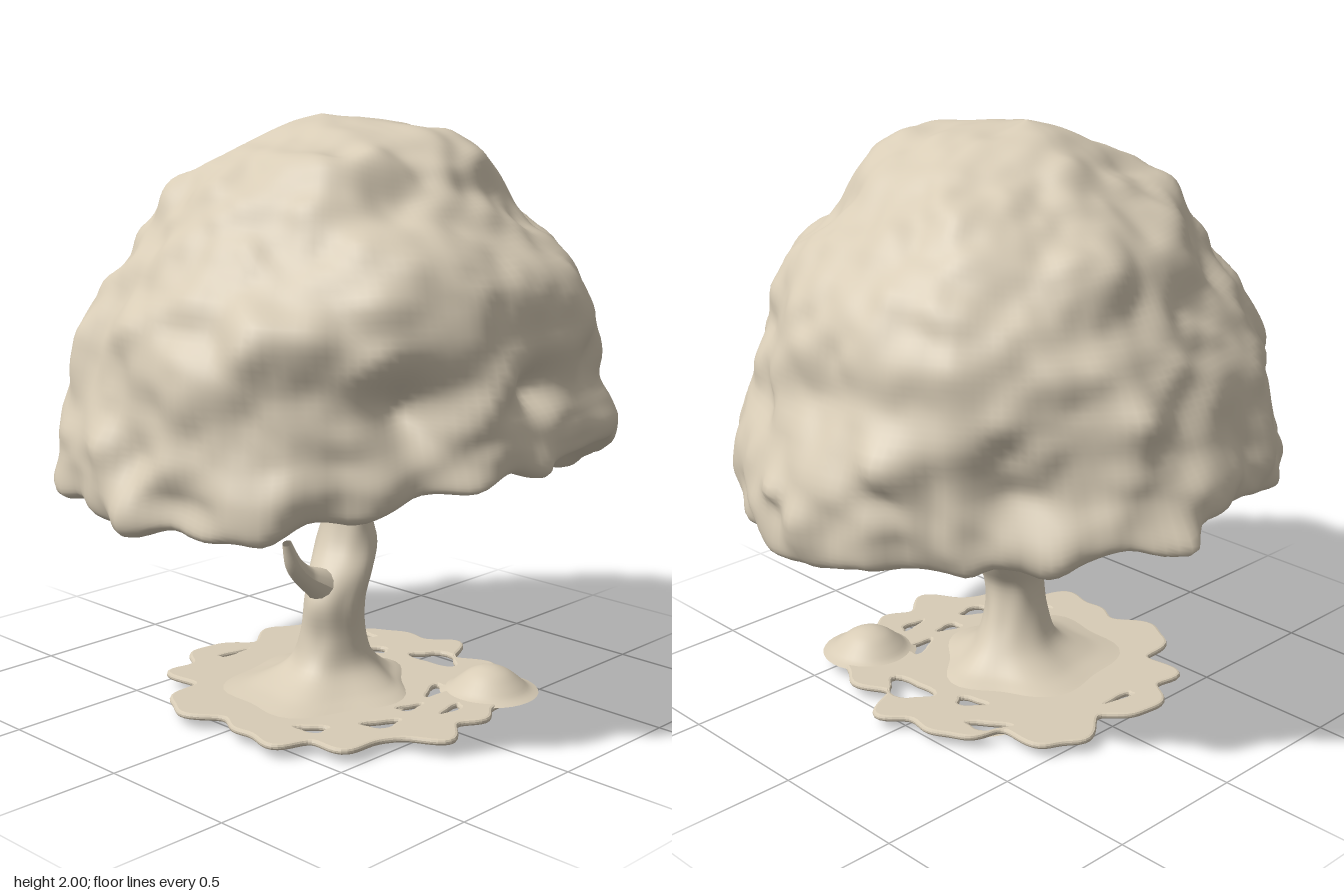
import * as THREE from 'three';

const TAU = Math.PI * 2;
const bark = new THREE.MeshStandardMaterial({ color: 0xd8ccb6, side: THREE.DoubleSide });
bark.name = 'pale clay';

// Smooth seeded value noise in -1..1
function hash(x, y, z) {
  const s = Math.sin(x * 127.1 + y * 311.7 + z * 74.7) * 43758.5453;
  return (s - Math.floor(s)) * 2 - 1;
}
const ease = (t) => t * t * (3 - 2 * t);
function noise(x, y, z) {
  const ix = Math.floor(x), iy = Math.floor(y), iz = Math.floor(z);
  const u = ease(x - ix), v = ease(y - iy), w = ease(z - iz);
  let sum = 0;
  for (let i = 0; i < 8; i++) {
    const a = i & 1, b = (i >> 1) & 1, c = i >> 2;
    sum += hash(ix + a, iy + b, iz + c) * (a ? u : 1 - u) * (b ? v : 1 - v) * (c ? w : 1 - w);
  }
  return sum;
}

// Skin closed rings (ordered top to bottom) into one smooth surface
function skin(rings) {
  const n = rings[0].length, index = [];
  for (let i = 0; i < rings.length - 1; i++) {
    for (let j = 0; j < n; j++) {
      const k = (j + 1) % n;
      const a = i * n + j, b = i * n + k, c = a + n, d = b + n;
      index.push(a, b, c, b, d, c);
    }
  }
  const g = new THREE.BufferGeometry().setFromPoints(rings.flat());
  g.setIndex(index);
  g.computeVertexNormals();
  return g;
}
function sampleRings(pointsAt, columns, rows) {
  const rings = Array.from({ length: rows + 1 }, () => []);
  for (let j = 0; j < columns; j++) {
    const curve = new THREE.CatmullRomCurve3(pointsAt((j / columns) * TAU));
    for (let i = 0; i <= rows; i++) rings[i].push(curve.getPoint(i / rows));
  }
  return rings;
}

function mesh(name, geometry) {
  const m = new THREE.Mesh(geometry, bark);
  m.name = name;
  return m;
}

// Crown: lumpy dome with an uneven rim and a hollow underside
// Each upper level: y, radius towards +x, +z, -x, -z, and how far it follows the rim outline
const crownLevels = [
  [1.975, 0.07, 0.22, 0.14, 0.13, 0], [1.93, 0.18, 0.41, 0.27, 0.22, 0], [1.86, 0.34, 0.51, 0.4, 0.33, 0],
  [1.76, 0.49, 0.56, 0.58, 0.46, 0], [1.66, 0.6, 0.68, 0.65, 0.58, 0], [1.52, 0.73, 0.84, 0.76, 0.65, 0],
  [1.36, 0.75, 0.88, 0.86, 0.74, 0.2], [1.2, 0.78, 0.84, 0.9, 0.81, 0.45],
];
// Rim levels: y before the rim height is applied, and share of the rim outline
const skirtLevels = [[1.02, 0.95], [0.9, 0.98], [0.8, 0.96]];
// Rim outline every 15 degrees and rim height every 22.5 degrees, from +x towards +z
const rimRadii = [
  0.92, 0.94, 0.93, 0.92, 0.94, 0.93, 0.91, 0.94, 0.85, 0.9, 0.96, 0.95,
  0.94, 0.96, 0.99, 0.94, 0.95, 0.89, 0.9, 0.93, 0.85, 0.82, 0.85, 0.93,
];
const rimHeights = [0.73, 0.73, 0.88, 0.98, 0.92, 0.93, 0.84, 0.78, 0.78, 0.78, 0.8, 0.83, 0.88, 0.83, 0.78, 0.76];
// Hollows (negative) and lumps or spikes: x, y, z, size, amount
const dents = [
  [-0.45, 1.18, 0.72, 0.11, -0.11], [0.02, 1.2, 0.84, 0.08, -0.08], [-0.5, 1.33, 0.68, 0.1, 0.05],
  [-0.2, 1.2, 0.85, 0.07, 0.03], [0.45, 1.5, 0.62, 0.1, -0.04], [0.92, 0.96, 0.13, 0.05, 0.07],
  [-0.94, 1.02, -0.15, 0.06, 0.05], [0.13, 0.87, -0.87, 0.06, 0.06], [0, 0.93, 0.9, 0.07, 0.04],
  [0.2, 1.24, -0.78, 0.08, 0.05], [0.8, 1.1, -0.32, 0.09, 0.07], [-0.14, 1.84, 0.5, 0.06, -0.03],
  [-0.38, 1.82, 0.38, 0.14, 0.05], [0.74, 1.12, 0.3, 0.1, -0.04],
];
function around(table, t) {
  const n = table.length, f = (t / TAU) * n, i = Math.floor(f);
  return THREE.MathUtils.lerp(table[i % n], table[(i + 1) % n], ease(f - i));
}
function crownPoints(t) {
  const c = Math.cos(t), s = Math.sin(t);
  const at = (r, y, shift = 0) => new THREE.Vector3(r * c + shift, y, r * s);
  const outline = around(rimRadii, t);
  const rim = around(rimHeights, t) + noise(c * 6, 3, s * 6) * 0.025;
  const pts = [at(0, 2, -0.08)];
  for (const [y, px, pz, nx, nz, follow] of crownLevels) {
    const r = (c > 0 ? px : nx) * c * c + (s > 0 ? pz : nz) * s * s;
    pts.push(at(THREE.MathUtils.lerp(r, outline * 0.92, follow), y, y > 1.95 ? -0.04 : 0));
  }
  for (const [y, k] of skirtLevels) pts.push(at(outline * k, 1.2 - ((1.2 - y) * (1.2 - rim)) / 0.42));
  for (const [k, m] of [[0.9, 0], [0.8, 0.18], [0.6, 0.55], [0.36, 0.88]]) {
    pts.push(at(outline * k, rim + (1.02 - rim) * m));
  }
  pts.push(at(0, 1.03, 0.03));
  return pts;
}
function crownGeometry() {
  const rings = sampleRings(crownPoints, 180, 110);
  const centre = new THREE.Vector3(0, 1.1, 0);
  for (const p of rings.flat()) {
    const { x, y, z } = p;
    const edge = Math.exp(-(((y - 0.86) / 0.16) ** 2));
    let d = noise(x * 4.5 + 4, y * 5 + 2, z * 4.5) * 0.03
      + noise(x * 7.5 + 5, y * 8, z * 7.5 + 8) * 0.028
      + noise(x * 13, y * 13 + 3, z * 13) * 0.01
      + noise(x * 10 + 20, y * 5, z * 10) * 0.025 * edge;
    for (const [a, b, c, size, amount] of dents) {
      d += amount * Math.exp(-((x - a) ** 2 + (y - b) ** 2 + (z - c) ** 2) / (size * size));
    }
    const fade = Math.min(1, Math.hypot(x + 0.07, z) / 0.4);
    p.addScaledVector(p.clone().sub(centre).normalize(), d * fade);
  }
  return skin(rings);
}

// Trunk: y, x min, x max, z min, z max at each level, closed by a shallow bowl below
function trunkGeometry() {
  const levels = [
    [1.08, -0.32, 0.38, -0.3, 0.3], [0.98, -0.17, 0.21, -0.16, 0.18], [0.88, -0.08, 0.15, -0.1, 0.12],
    [0.78, -0.04, 0.13, -0.08, 0.09], [0.65, -0.04, 0.11, -0.08, 0.1], [0.54, -0.07, 0.13, -0.1, 0.12],
    [0.45, -0.13, 0.09, -0.08, 0.14], [0.36, -0.17, 0.05, -0.06, 0.14], [0.24, -0.17, 0.06, -0.08, 0.14],
    [0.14, -0.21, 0.11, -0.12, 0.16], [0.08, -0.31, 0.17, -0.2, 0.23], [0.055, -0.4, 0.22, -0.28, 0.29],
    [0.038, -0.48, 0.25, -0.36, 0.33], [0.028, -0.42, 0.22, -0.34, 0.3], [0.01, -0.25, 0.12, -0.18, 0.18],
    [0, -0.08, -0.08, 0, 0],
  ];
  const pointsAt = (t) => levels.map(([y, x0, x1, z0, z1]) => {
    const root = 1 + Math.max(0, 0.2 - y) * 0.5 * Math.sin(t * 5 + 1)
      + Math.min(0.08, y * 0.3) * noise(Math.cos(t) * 2, y * 12, Math.sin(t) * 2);
    return new THREE.Vector3(
      (x0 + x1) / 2 + ((x1 - x0) / 2) * root * Math.cos(t), y,
      (z0 + z1) / 2 + ((z1 - z0) / 2) * root * Math.sin(t));
  });
  return skin(sampleRings(pointsAt, 48, 75));
}

// Tapered limb following a curve; each point is x, y, z, radius
function limbGeometry(points) {
  const curve = new THREE.CatmullRomCurve3(points.map(([x, y, z]) => new THREE.Vector3(x, y, z)));
  const rows = 24, n = 14, g = new THREE.TubeGeometry(curve, rows, 1, n, false);
  const pos = g.attributes.position, v = new THREE.Vector3();
  for (let i = 0; i <= rows; i++) {
    const f = (i / rows) * (points.length - 1), k = Math.min(Math.floor(f), points.length - 2);
    const r = THREE.MathUtils.lerp(points[k][3], points[k + 1][3], f - k);
    const c = curve.getPointAt(i / rows);
    for (let j = 0; j <= n; j++) {
      const q = i * (n + 1) + j;
      v.fromBufferAttribute(pos, q).sub(c).multiplyScalar(r).add(c);
      pos.setXYZ(q, v.x, v.y, v.z);
    }
  }
  g.computeVertexNormals();
  return g;
}

// Thin root mat with a lobed edge and openings; each opening: x, z, half length, half width, angle
function blob(Type, [cx, cy, rx, ry, turn], ragged, n) {
  const pts = [], centre = new THREE.Vector2(cx, cy), origin = new THREE.Vector2();
  for (let i = 0; i < n; i++) {
    const t = (i / n) * TAU, k = 1 + ragged(t);
    pts.push(new THREE.Vector2(rx * k * Math.cos(t), ry * k * Math.sin(t)).rotateAround(origin, turn).add(centre));
  }
  return new Type(pts);
}
function rootMatGeometry() {
  const edge = (t) => 0.06 * Math.sin(t * 11 + 1 + Math.sin(t * 3)) + 0.04 * Math.sin(t * 7 + 2.5) + 0.03 * Math.sin(t * 19);
  const shape = blob(THREE.Shape, [-0.03, 0.03, 0.55, 0.57, 0], edge, 220);
  const holes = [
    [0.38, 0.12, 0.1, 0.065, 1.5], [0.14, 0.33, 0.07, 0.035, 2.8], [-0.04, 0.37, 0.055, 0.03, 0.2],
    [-0.21, 0.4, 0.07, 0.04, 0.5], [-0.4, 0.27, 0.06, 0.035, 1], [0.29, -0.1, 0.06, 0.035, 1.1],
    [0.36, -0.26, 0.08, 0.035, 0.9], [0.05, 0.48, 0.06, 0.025, 3], [-0.1, -0.44, 0.07, 0.02, 0.1],
  ];
  holes.forEach((hole, i) => {
    shape.holes.push(blob(THREE.Path, hole, (t) => 0.18 * Math.sin(t * 3 + i), 24));
  });
  const g = new THREE.ExtrudeGeometry(shape, {
    depth: 0.006, bevelThickness: 0.008, bevelSize: 0.01, bevelSegments: 2,
  });
  return g.rotateX(Math.PI / 2).translate(0, 0.044, 0);
}

// Low bell-shaped mound
function moundGeometry() {
  const profile = [[0.17, 0], [0.14, 0.012], [0.11, 0.037], [0.07, 0.068], [0.03, 0.084], [0, 0.087]];
  const curve = new THREE.SplineCurve(profile.map(([r, y]) => new THREE.Vector2(r, y)));
  return new THREE.LatheGeometry(curve.getPoints(16), 32);
}

export function createModel() {
  const tree = new THREE.Group();
  tree.name = 'tree';
  tree.add(mesh('crown', crownGeometry()), mesh('trunk', trunkGeometry()), mesh('rootMat', rootMatGeometry()));
  tree.add(mesh('brokenBranch', limbGeometry([
    [-0.04, 0.36, 0.04, 0.08], [-0.13, 0.425, 0.04, 0.062], [-0.21, 0.475, 0.04, 0.04],
    [-0.265, 0.53, 0.05, 0.03], [-0.305, 0.61, 0.06, 0.016],
  ])));
  tree.add(mesh('branchStub', limbGeometry([
    [0.02, 0.55, 0.01, 0.06], [0.08, 0.55, 0.01, 0.085], [0.14, 0.545, 0, 0.045], [0.185, 0.535, 0, 0.006],
  ])));
  const mound = mesh('rootMound', moundGeometry());
  mound.position.set(0.28, 0.045, 0.45);
  tree.add(mound);
  return tree;
}
